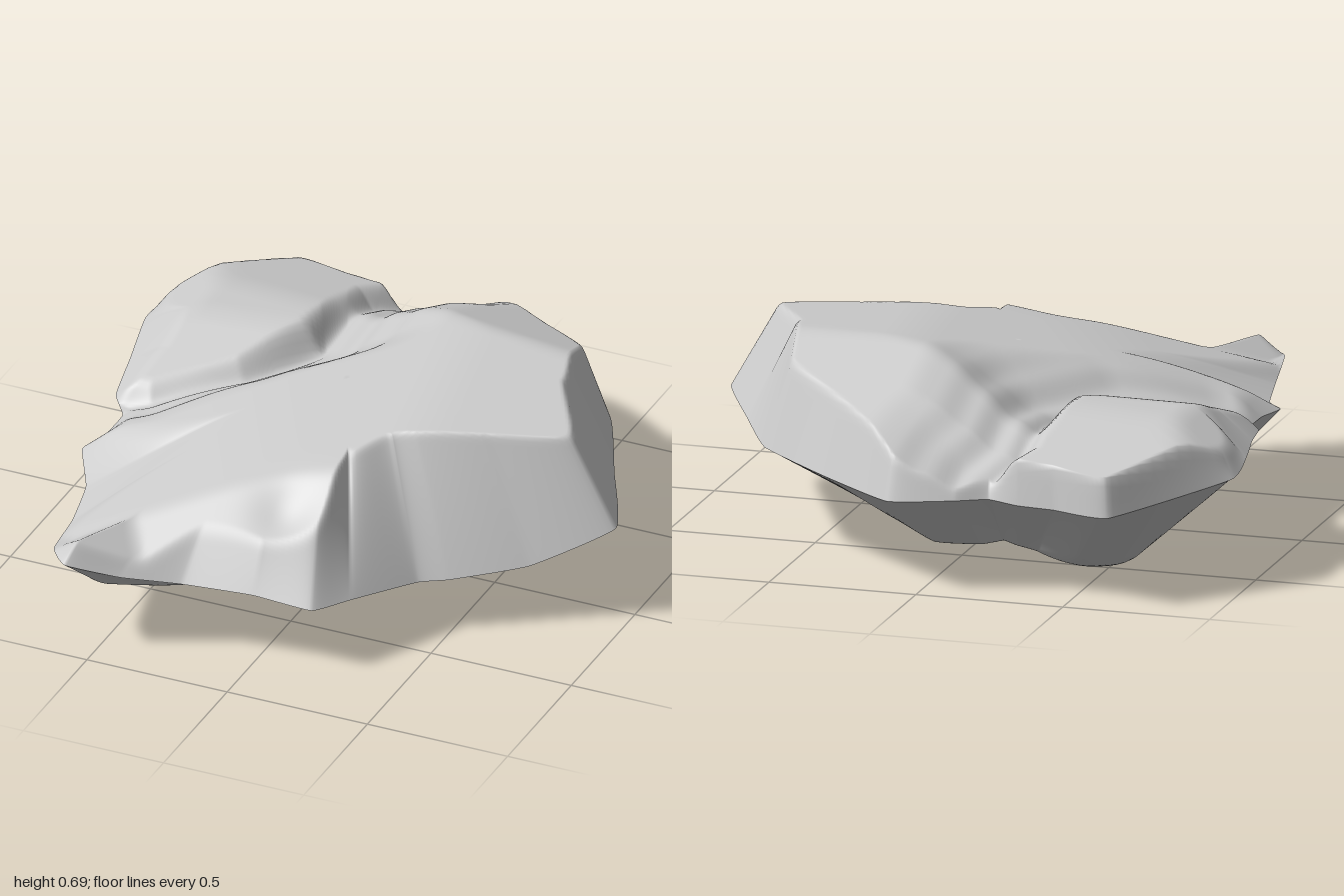
import * as THREE from 'three';

// Rim stations: x, z, rim height, upper wall slope, underside slope
const RIM = [
  [0.96, 0.06, 0.36, 1.7, 0.6], [0.72, 0.21, 0.24, 2.0, 0.4], [0.5, 0.35, 0.21, 1.9, 0.4],
  [0.41, 0.41, 0.21, 1.8, 0.4], [0.28, 0.65, 0.24, 1.1, 0.45], [0.2, 0.78, 0.25, 1.4, 0.45],
  [0, 0.8, 0.27, 1.7, 0.5], [-0.24, 0.83, 0.27, 1.4, 0.5], [-0.42, 0.92, 0.3, 1.1, 0.5],
  [-0.58, 1.0, 0.35, 1.4, 0.8], [-0.65, 0.93, 0.36, 0.5, 1.0], [-0.69, 0.7, 0.33, 0.42, 0.9],
  [-0.74, 0.48, 0.33, 0.45, 0.9], [-0.83, 0.31, 0.36, 0.6, 1.0], [-0.8, 0.2, 0.36, 0.9, 1.1],
  [-0.8, 0.06, 0.36, 0.9, 1.2], [-0.86, -0.02, 0.38, 0.9, 1.1], [-0.9, -0.22, 0.4, 0.7, 1.0],
  [-0.955, -0.46, 0.41, 0.7, 0.9], [-0.955, -0.62, 0.38, 1.6, 0.9], [-0.65, -0.98, 0.32, 6, 0.65],
  [-0.45, -0.94, 0.32, 6, 0.6], [-0.32, -0.925, 0.32, 5, 0.6], [-0.22, -0.915, 0.33, 2.0, 0.6],
  [-0.12, -0.965, 0.33, 3.0, 0.65], [0.1, -1.0, 0.32, 3.0, 0.65], [0.38, -0.8, 0.33, 3.0, 0.65],
  [0.64, -0.6, 0.35, 3.0, 0.6], [0.8, -0.28, 0.35, 2.0, 0.6],
];
// Cliff edge between the back shelf and the groove (x, z)
const CLIFF = [[-0.25, -1.1], [-0.27, -0.92], [-0.335, -0.8], [-0.35, -0.42], [-0.5, -0.2], [-0.74, -0.03], [-1.0, 0.02]];
const CENTER = [-0.05, -0.05];
const AROUND = 348, RINGS = 84;

const { lerp, smoothstep } = THREE.MathUtils;

// Minimum of two heights with a slightly worn edge
function smin(a, b, r = 0.02) {
  const h = Math.max(r - Math.abs(a - b), 0) / r;
  return Math.min(a, b) - h * h * r / 4;
}
const smax = (a, b, r) => -smin(-a, -b, r);

// Height function of a facet through three points given as x, z, y
function facet(...points) {
  const p = new THREE.Plane().setFromCoplanarPoints(...points.map(([x, z, y]) => new THREE.Vector3(x, y, z)));
  return (x, z) => -(p.normal.x * x + p.normal.z * z + p.constant) / p.normal.y;
}
const bump = (x, z, cx, cz, rx, rz) => Math.exp(-(((x - cx) / rx) ** 2) - ((z - cz) / rz) ** 2);

// Signed distance to the cliff, positive on the main plateau side
function cliffDistance(x, z) {
  let best = 9, sign = 1;
  for (let i = 0; i < CLIFF.length - 1; i++) {
    const [ax, az] = CLIFF[i], dx = CLIFF[i + 1][0] - ax, dz = CLIFF[i + 1][1] - az;
    const px = x - ax, pz = z - az;
    const t = THREE.MathUtils.clamp((px * dx + pz * dz) / (dx * dx + dz * dz), 0, 1);
    const d = Math.hypot(px - t * dx, pz - t * dz);
    if (d < best) { best = d; sign = dx * pz - dz * px > 0 ? -1 : 1; }
  }
  return best * sign;
}

const plateauFacets = [
  facet([0.22, -0.42, 0.71], [0.78, 0, 0.66], [0.3, 0.25, 0.65]),
  facet([0.22, -0.42, 0.71], [0.57, -0.57, 0.62], [0.05, -0.98, 0.49]),
  facet([0.15, 0.1, 0.64], [-0.35, 0.1, 0.56], [0, 0.5, 0.57]),
  facet([-0.35, 0.1, 0.56], [-0.78, 0.28, 0.42], [-0.45, 0.72, 0.43]),
  facet([-0.45, 0.74, 0.42], [0.1, 0.78, 0.38], [0, 0.5, 0.57]),
];

// Upper surface: faceted plateau, worn groove with terraces, back shelf
function topHeight(x, z) {
  let main = plateauFacets.map(f => f(x, z)).reduce((a, b) => smin(a, b));
  main -= 0.03 * bump(x, z, 0.03, 0.6, 0.1, 0.1);
  // Level ridge running out to the front tip
  main = smax(main, 0.42 - 0.6 * Math.abs(x + 0.45 + 0.47 * (z - 0.72)));
  // The groove is wider and deeper towards the back
  const s = cliffDistance(x, z), back = smoothstep(-z, -0.05, 0.4);
  const fade = 1 - smoothstep(s, 0.03, lerp(0.3, 0.5, back));
  main -= (lerp(0.09, 0.17, back) + 0.008 * Math.sin(s * 48)) * fade;
  const shelf = [0.56 + 0.03 * (x + 0.5), 0.56 + 0.5 * (x + 0.73), 0.56 + 0.27 * (z + 0.55), 0.56 - 0.35 * (z + 0.38)]
    .reduce((a, b) => smin(a, b));
  return lerp(shelf, main, smoothstep(s, -0.03, 0.06));
}

// Underside: broad facets rising from the lowest point, with a hollow at the back notch
function bottomHeight(x, z) {
  const body = [0, 0.165 * (x + 0.5), 0.33 * (z - 0.2), 0.45 * (-0.52 - z), 0.13 * (x + 0.5) + 0.04 * (z + 0.3), -0.9 * (x + 0.53)]
    .reduce((a, b) => smax(a, b, 0.04));
  return body + 0.06 * bump(x, z, -0.26, -0.85, 0.12, 0.25);
}

// Closed cap from the centre out to the rim
function capGeometry(heightAt, up) {
  const n = RIM.length;
  const rim = new THREE.CatmullRomCurve3(RIM.map(([x, z, y]) => new THREE.Vector3(x, y, z)), true, 'catmullrom', 0.2);
  const pos = [], index = [];
  for (let j = 0; j <= RINGS; j++) {
    const t = 1 - (1 - j / RINGS) ** 1.25;
    for (let i = 0; i < AROUND; i++) {
      const u = i / AROUND, p = rim.getPoint(u);
      const k = Math.floor(u * n), a = RIM[k], b = RIM[(k + 1) % n], f = u * n - k;
      const x = lerp(CENTER[0], p.x, t), z = lerp(CENTER[1], p.z, t);
      const inset = (1 - t) * Math.hypot(p.x - CENTER[0], p.z - CENTER[1]);
      pos.push(x, j === RINGS ? p.y : heightAt(x, z, p.y, inset, lerp(a[3], b[3], f), lerp(a[4], b[4], f)), z);
      if (j === RINGS) continue;
      const q = j * AROUND + i, r = j * AROUND + (i + 1) % AROUND, Q = q + AROUND, R = r + AROUND;
      if (up) index.push(q, r, Q, r, R, Q);
      else index.push(q, Q, r, r, Q, R);
    }
  }
  const g = new THREE.BufferGeometry();
  g.setAttribute('position', new THREE.Float32BufferAttribute(pos, 3));
  g.setIndex(index);
  g.computeVertexNormals();
  // The collapsed centre ring points straight up or down
  for (let i = 0; i < AROUND; i++) g.attributes.normal.setXYZ(i, 0, up ? 1 : -1, 0);
  return g;
}

export function createModel() {
  const group = new THREE.Group();
  group.name = 'rock';
  const material = new THREE.MeshStandardMaterial({ color: 0xcccccc });
  const add = (name, geometry) => {
    const mesh = new THREE.Mesh(geometry, material);
    mesh.name = name;
    group.add(mesh);
  };
  // Near the rim both caps are held between the rim height and the wall slope
  add('rockTop', capGeometry((x, z, y, d, upper) =>
    Math.max(smin(topHeight(x, z), y + upper * d), y), true));
  add('rockUnderside', capGeometry((x, z, y, d, upper, lower) =>
    Math.max(0, smax(bottomHeight(x, z), y - lower * d)), false));
  return group;
}
